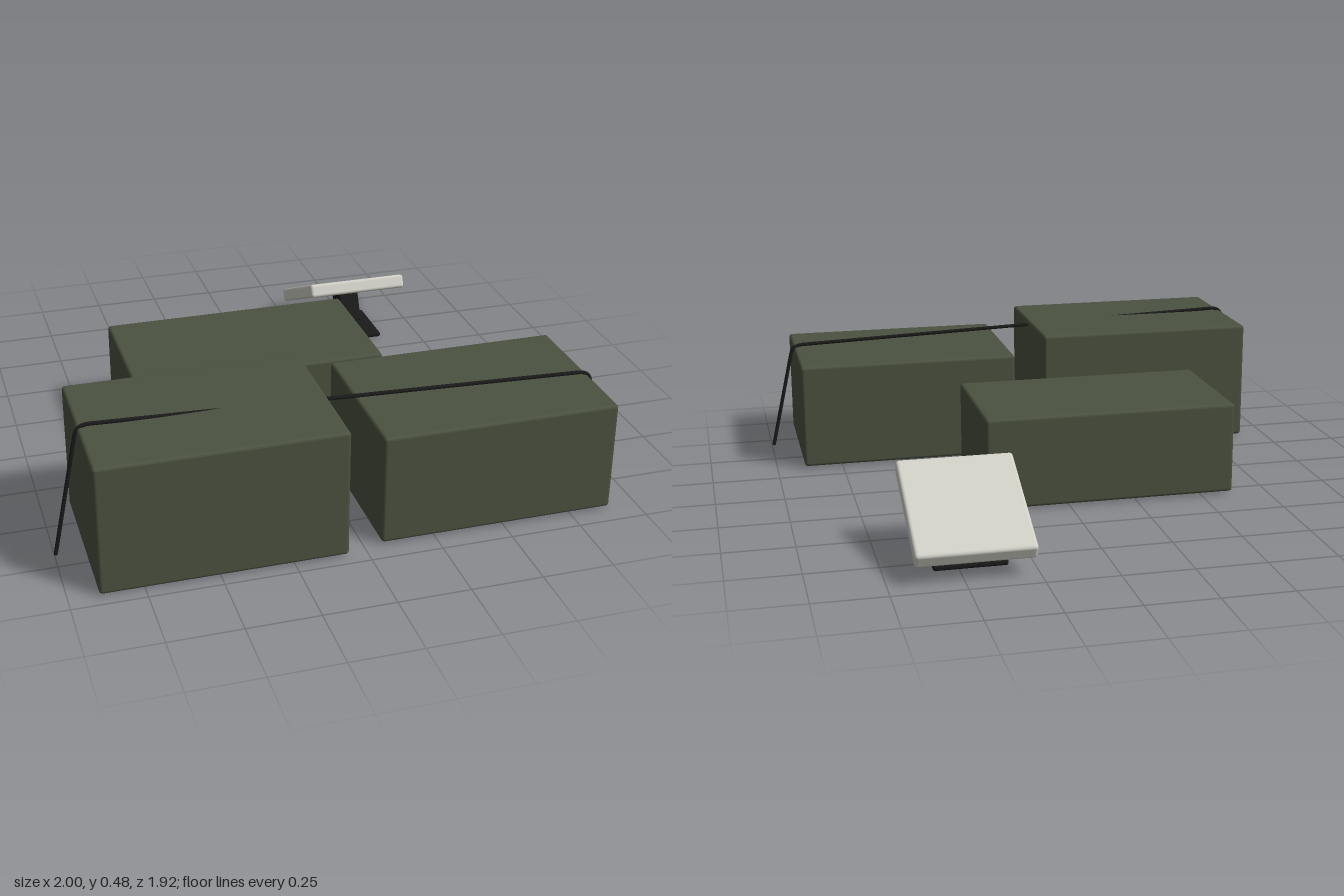
import * as THREE from 'three';
import { RoundedBoxGeometry } from 'three/addons/geometries/RoundedBoxGeometry.js';

const olive = new THREE.MeshStandardMaterial({ color: 0x4b5240 });
const black = new THREE.MeshStandardMaterial({ color: 0x1a1a1a });
const pale = new THREE.MeshStandardMaterial({ color: 0xcfcfc6 });

// Softly rounded box centred on (x, y, z)
function block(name, material, [w, h, d], [x, y, z], radius) {
  const mesh = new THREE.Mesh(new RoundedBoxGeometry(w, h, d, 3, radius), material);
  mesh.name = name;
  mesh.position.set(x, y, z);
  return mesh;
}

// Cable that runs up, over the front crates and down to the ground
function makeCable() {
  const v = (x, y) => new THREE.Vector3(x, y, 0.68);
  const start = v(-0.995, 0.008), end = v(0.992, 0.008);
  const cornerA = v(-0.9, 0.478), cornerB = v(0.9, 0.414);
  const a1 = cornerA.clone().lerp(start, 0.08), a2 = cornerA.clone().lerp(cornerB, 0.022);
  const b1 = cornerB.clone().lerp(cornerA, 0.022), b2 = cornerB.clone().lerp(end, 0.08);
  const path = new THREE.CurvePath();
  path.add(new THREE.LineCurve3(start, a1));
  path.add(new THREE.QuadraticBezierCurve3(a1, cornerA, a2));
  path.add(new THREE.LineCurve3(a2, b1));
  path.add(new THREE.QuadraticBezierCurve3(b1, cornerB, b2));
  path.add(new THREE.LineCurve3(b2, end));

  const group = new THREE.Group();
  group.name = 'cable';
  group.add(new THREE.Mesh(new THREE.TubeGeometry(path, 200, 0.007, 8), black));
  // End caps
  for (const p of [start, end]) {
    const cap = new THREE.Mesh(new THREE.SphereGeometry(0.007, 8, 6), black);
    cap.position.copy(p);
    group.add(cap);
  }
  return group;
}

// Tilted flat panel on a short arm above a foot plate
function makePanel() {
  const group = new THREE.Group();
  group.name = 'panelAntenna';
  group.position.x = 0.4625;
  group.add(block('footPlate', black, [0.25, 0.02, 0.247], [0, 0.015, -0.716], 0.008));

  const head = new THREE.Group();
  head.name = 'panelHead';
  head.position.set(0, 0.181, -0.744);
  head.rotation.x = -0.44;
  head.add(block('panel', pale, [0.4, 0.054, 0.455], [0, 0, 0], 0.012));
  head.add(block('arm', black, [0.08, 0.13, 0.107], [0, -0.077, 0.035], 0.004));
  group.add(head);
  return group;
}

export function createModel() {
  const model = new THREE.Group();
  model.name = 'fieldKit';

  // Crates: size, centre
  const crates = [
    ['tallCrate', [0.835, 0.46, 0.586], [-0.482, 0.238, 0.666]],
    ['mediumCrate', [0.835, 0.397, 0.583], [0.478, 0.207, 0.634]],
    ['lowCrate', [0.925, 0.336, 0.523], [-0.157, 0.176, -0.05]],
  ];
  for (const [name, size, centre] of crates) model.add(block(name, olive, size, centre, 0.012));

  model.add(makeCable(), makePanel());
  return model;
}
